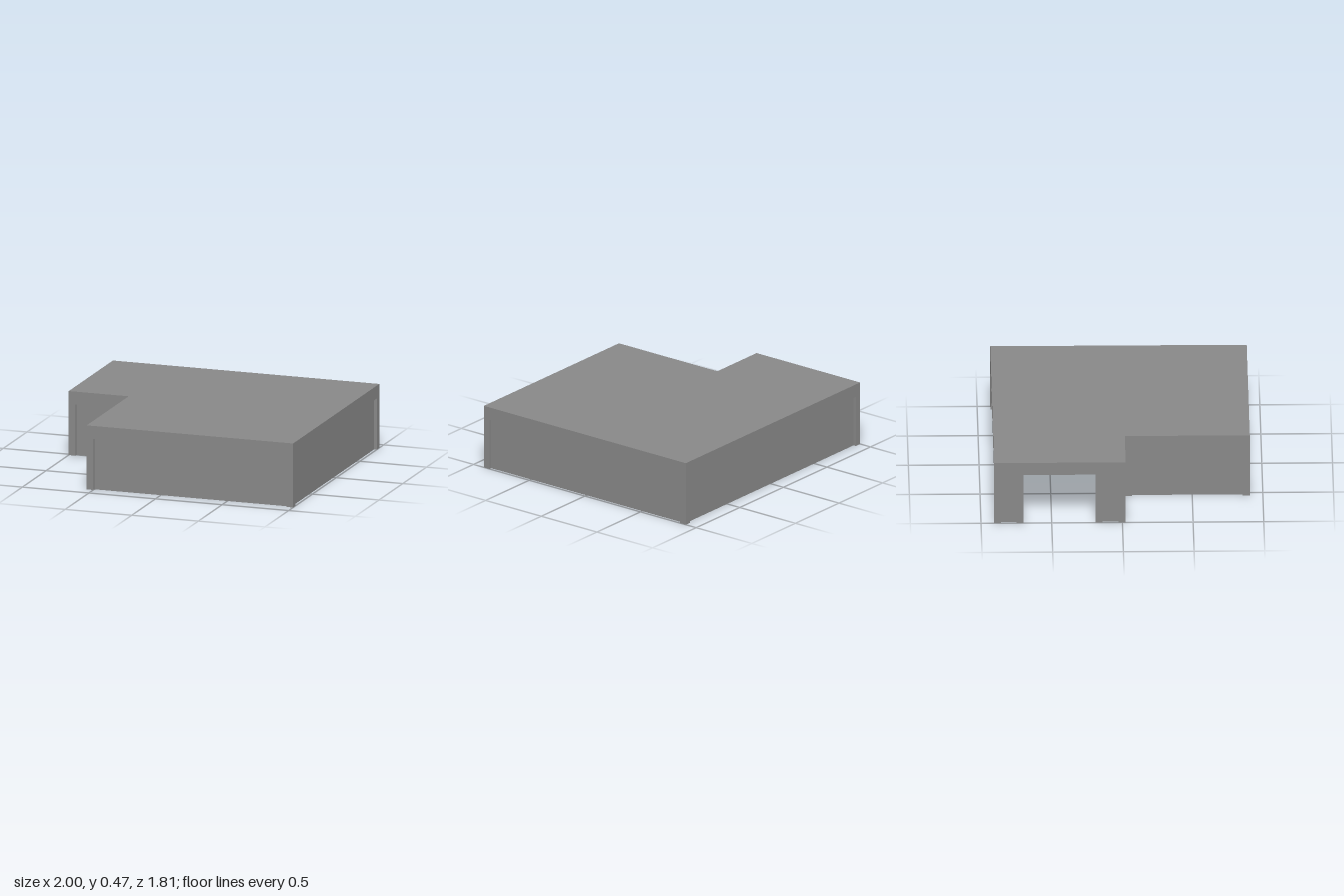
import * as THREE from 'three';

const H = 0.467, CEIL = 0.42, OPEN = 0.373, T = 0.05, RECESS = 0.02, D = 0.907, NOTCH = 0.023;
const DOOR = [-0.19, -0.7]; // z range of the doorway in the -x wall

// L-shaped plan as [x, z] corners, inset by t
const plan = (t) => [
  [-1 + t, -D + t], [1 - t, -D + t], [1 - t, D - t],
  [-0.55 + t, D - t], [-0.55 + t, NOTCH - t], [-1 + t, NOTCH - t],
];

// Points along the outside of a wall from a to b, with a recessed panel between two posts
function wallLine(a, b) {
  const dx = b[0] - a[0], dz = b[1] - a[1], len = Math.hypot(dx, dz);
  const ux = dx / len, uz = dz / len;
  const at = (s, inward) => [a[0] + ux * s - uz * inward, a[1] + uz * s + ux * inward];
  return [a, at(T, 0), at(T, RECESS), at(len - T, RECESS), at(len - T, 0), b];
}

// Extrude a plan outline upwards from y0 to y1
function rise(points, y0, y1, hole) {
  const toVec = ([x, z]) => new THREE.Vector2(x, -z);
  const shape = new THREE.Shape(points.map(toVec));
  if (hole) shape.holes.push(new THREE.Path(hole.map(toVec)));
  return new THREE.ExtrudeGeometry(shape, { depth: y1 - y0, bevelEnabled: false })
    .rotateX(-Math.PI / 2).translate(0, y0, 0);
}

// Remove the faces resting on the ground, leaving a hollow shell
function openBottom(geo) {
  const p = geo.attributes.position, kept = [];
  for (let i = 0; i < p.count; i += 3) {
    if (Math.max(p.getY(i), p.getY(i + 1), p.getY(i + 2)) < 1e-5) continue;
    for (let k = i; k < i + 3; k++) kept.push(p.getX(k), p.getY(k), p.getZ(k));
  }
  const shell = new THREE.BufferGeometry();
  shell.setAttribute('position', new THREE.Float32BufferAttribute(kept, 3));
  shell.computeVertexNormals();
  return shell;
}

export function createModel() {
  const model = new THREE.Group();
  const mat = new THREE.MeshStandardMaterial({ color: 0x878787, flatShading: true, side: THREE.DoubleSide });
  const add = (name, geo) => {
    const mesh = new THREE.Mesh(geo, mat);
    mesh.name = name;
    model.add(mesh);
  };
  const block = (name, w, d, x, z) => add(name, openBottom(
    new THREE.BoxGeometry(w, CEIL, d).toNonIndexed().translate(x, CEIL / 2, z)));

  const outer = plan(0), inner = plan(T);

  // Roof slab, and the lintel ring under it
  add('roof', rise(outer, CEIL, H));
  add('lintel', rise(outer, OPEN, CEIL, inner));

  // Posts and recessed panels: one hollow run from one side of the doorway round to the other
  const run = wallLine([-1, DOOR[1]], outer[0]);
  for (let i = 0; i < 5; i++) run.push(...wallLine(outer[i], outer[i + 1]).slice(1));
  run.push(...wallLine(outer[5], [-1, DOOR[0]]).slice(1));
  run.push([-1 + T, DOOR[0]], ...inner.reverse(), [-1 + T, DOOR[1]]);
  add('walls', openBottom(rise(run, 0, OPEN)));

  // Free-standing interior columns and partition
  block('interiorColumn', 0.08, 0.08, 0.487, -0.365);
  block('interiorColumn', 0.08, 0.08, 0.487, 0.397);
  block('partition', 0.04, 1.02, 0, -0.35);
  return model;
}
